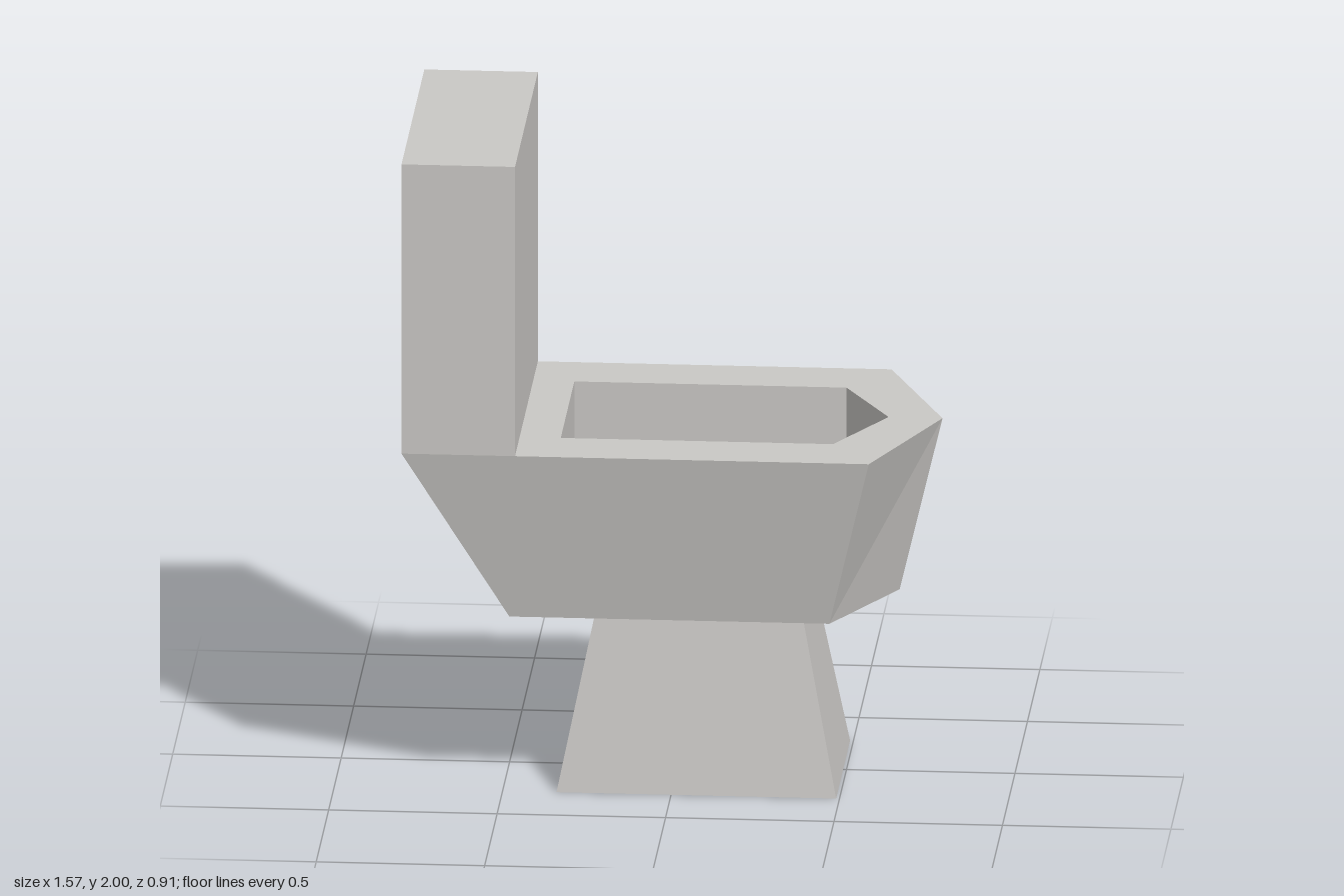
import * as THREE from 'three';
import { mergeGeometries } from 'three/addons/utils/BufferGeometryUtils.js';

// Outlines run counter-clockwise seen from above, as [x, -z] pairs.
const pointed = (back, shoulder, tip, half) =>
  [[back, -half], [shoulder, -half], [tip, 0], [shoulder, half], [back, half]];
const rect = (x0, x1, half) => [[x0, -half], [x1, -half], [x1, half], [x0, half]];

// Side walls between two outlines; they face outward when the first is the lower one.
function walls(ringA, yA, ringB, yB) {
  const pos = [];
  ringA.forEach((p, i) => {
    const j = (i + 1) % ringA.length;
    const a = [p[0], yA, -p[1]], b = [ringA[j][0], yA, -ringA[j][1]];
    const c = [ringB[j][0], yB, -ringB[j][1]], d = [ringB[i][0], yB, -ringB[i][1]];
    pos.push(...a, ...b, ...c, ...a, ...c, ...d);
  });
  const geo = new THREE.BufferGeometry();
  geo.setAttribute('position', new THREE.Float32BufferAttribute(pos, 3));
  geo.computeVertexNormals();
  return geo;
}

// Flat horizontal face, optionally with a hole.
function cap(ring, y, up = true, hole = null) {
  const toPoints = r => r.map(([x, s]) => new THREE.Vector2(x, s));
  const shape = new THREE.Shape(toPoints(ring));
  if (hole) shape.holes.push(new THREE.Path(toPoints(hole)));
  const geo = new THREE.ShapeGeometry(shape).toNonIndexed();
  geo.deleteAttribute('uv');
  return geo.rotateX(up ? -Math.PI / 2 : Math.PI / 2).translate(0, y, 0);
}

export function createModel() {
  const model = new THREE.Group();
  model.name = 'toilet';
  const ceramic = new THREE.MeshStandardMaterial({ color: 0xcac8c5 });
  ceramic.name = 'ceramicGrey';

  const add = (name, parts) => {
    const mesh = new THREE.Mesh(mergeGeometries(parts), ceramic);
    mesh.name = name;
    model.add(mesh);
  };

  const baseY = 0.565, rimY = 1.1, floorY = 0.65, tankFront = -0.45, half = 0.457;

  // Pedestal, narrowing upward
  const foot = rect(-0.34, 0.49, 0.28);
  const neck = rect(-0.225, 0.38, 0.2);
  add('pedestal', [walls(foot, 0, neck, baseY), cap(foot, 0, false)]);

  // Bowl shell with a pointed front
  const bowlBottom = pointed(-0.475, 0.475, 0.658, 0.347);
  const bowlTop = pointed(-0.787, 0.6, 0.785, half);
  add('bowl', [walls(bowlBottom, baseY, bowlTop, rimY), cap(bowlBottom, baseY, false)]);

  // Rim in front of the tank, with the opening cut out
  const opening = pointed(-0.328, 0.48, 0.625, 0.272);
  add('rim', [cap(pointed(tankFront, 0.6, 0.785, half), rimY, true, opening)]);

  // Straight-walled hollow inside the bowl
  add('basin', [walls(opening, rimY, opening, floorY), cap(opening, floorY)]);

  // Tank rising from the back of the bowl
  const tank = rect(-0.787, tankFront, half);
  add('tank', [walls(tank, rimY, tank, 2), cap(tank, 2)]);

  return model;
}
